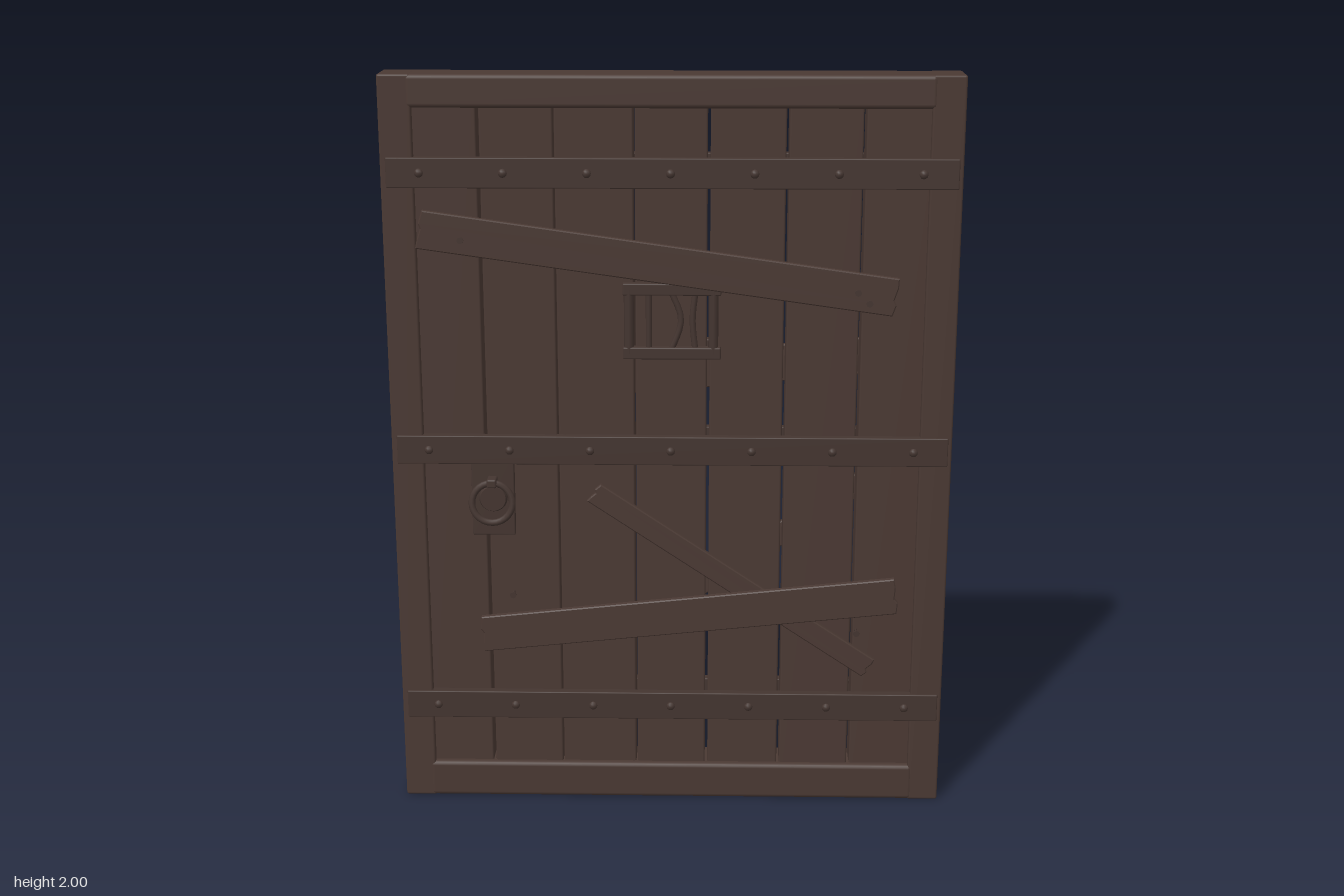
import * as THREE from 'three';
import { RoundedBoxGeometry } from 'three/addons/geometries/RoundedBoxGeometry.js';

export function createModel() {
  const door = new THREE.Group();
  door.name = 'door';
  const wood = new THREE.MeshStandardMaterial({ color: 0x4a3933 });
  wood.name = 'darkWood';
  const iron = new THREE.MeshStandardMaterial({ color: 0x443530 });
  iron.name = 'agedIron';

  function add(parent, name, geometry, material, x, y, z) {
    const mesh = new THREE.Mesh(geometry, material);
    mesh.name = name;
    mesh.position.set(x, y, z);
    parent.add(mesh);
    return mesh;
  }
  const block = (w, h, d, r = 0.006) => new RoundedBoxGeometry(w, h, d, 2, r);

  // Nail: a shank along z with a flat head
  function nail(parent, x, y, z, length = 0.03) {
    const g = new THREE.CylinderGeometry(0.004, 0.004, length, 6).rotateX(Math.PI / 2);
    add(parent, 'nailShank', g, iron, x, y, z);
    const head = new THREE.CylinderGeometry(0.009, 0.009, 0.004, 8).rotateX(Math.PI / 2);
    add(parent, 'nailHead', head, iron, x, y, z + length / 2);
  }

  // Loose board with splintered ends, running between two points
  function board(parent, name, a, b, width, thick, za, zb) {
    const dx = b[0] - a[0], dy = b[1] - a[1];
    const l = Math.hypot(dx, dy) / 2, h = width / 2;
    const shape = new THREE.Shape([
      [-l, -h], [l - 0.006, -h], [l, -h * 0.4], [l - 0.008, -h * 0.15], [l - 0.002, h * 0.5], [l - 0.004, h],
      [-l + 0.006, h], [-l, h * 0.3], [-l + 0.007, h * 0.05], [-l + 0.002, -h * 0.5],
    ].map(([x, y]) => new THREE.Vector2(x, y)));
    const bevel = 0.003;
    const g = new THREE.ExtrudeGeometry(shape, {
      depth: thick - 2 * bevel, bevelThickness: bevel, bevelSize: bevel, bevelOffset: -bevel, bevelSegments: 1,
    });
    g.translate(0, 0, bevel - thick / 2);
    const mesh = add(parent, name, g, wood, (a[0] + b[0]) / 2, (a[1] + b[1]) / 2, (za + zb) / 2);
    mesh.rotation.set(0, -Math.atan2(zb - za, 2 * l), Math.atan2(dy, dx), 'ZYX');
    return mesh;
  }

  // Outer frame
  add(door, 'rightPost', block(0.085, 2, 0.114), wood, -0.7025, 1, 0);
  add(door, 'leftPost', block(0.085, 2, 0.114), wood, 0.6985, 1, 0);
  add(door, 'topRail', block(1.345, 0.085, 0.118, 0.012), wood, -0.003, 1.9575, 0);
  add(door, 'bottomRail', block(1.345, 0.103, 0.118, 0.012), wood, -0.003, 0.0515, 0);

  // Vertical planks with narrow gaps
  const seams = [-0.68, -0.495, -0.302, -0.097, 0.095, 0.295, 0.49, 0.68];
  const gaps = [0, 0.007, 0.003, 0.004, 0.007, 0.007, 0.007, 0];
  for (let i = 0; i < 7; i++) {
    const x0 = seams[i] + gaps[i] / 2, x1 = seams[i + 1] - gaps[i + 1] / 2;
    const depth = 0.08 + (i % 2) * 0.004;
    add(door, 'plank', block(x1 - x0, 1.9, depth, 0.005), wood, (x0 + x1) / 2, 1, 0);
  }

  // Fittings shared by both faces; x is mirrored when the face is turned round
  function faceFittings(side) {
    const face = new THREE.Group();
    face.name = side > 0 ? 'frontFittings' : 'backFittings';
    if (side < 0) face.rotation.y = Math.PI;
    door.add(face);

    // Riveted straps
    for (const y of [1.752, 1.015, 0.28]) {
      add(face, 'strap', block(1.46, 0.078, 0.026, 0.003), iron, 0, y, 0.051);
      for (let i = -3; i <= 3; i++) {
        const rivet = new THREE.SphereGeometry(0.012, 10, 6);
        add(face, 'rivet', rivet, iron, i * 0.214 - 0.003 * side, y, 0.063).scale.z = 0.75;
      }
    }

    // Barred grille
    const grille = new THREE.Group();
    grille.name = 'grille';
    face.add(grille);
    for (const y of [1.451, 1.281]) {
      add(grille, 'grilleRail', block(0.256, 0.032, 0.026, 0.004), iron, 0, y, 0.049);
    }
    [-0.112, -0.06, 0.01, 0.058, 0.108].forEach((x, i) => {
      const edge = i === 0 || i === 4;
      const bend = i === 2 ? 0.014 : i === 3 ? -0.004 : 0;
      const path = new THREE.CatmullRomCurve3([
        new THREE.Vector3(x - bend, 1.28, 0.05),
        new THREE.Vector3(x + bend, 1.37, 0.05),
        new THREE.Vector3(x - bend, 1.45, 0.05),
      ]);
      add(grille, 'grilleBar', new THREE.TubeGeometry(path, 8, edge ? 0.013 : 0.008, 8), iron, 0, 0, 0);
    });

    // Ring handle on its plate
    const handle = new THREE.Group();
    handle.name = 'ringHandle';
    handle.position.x = -0.478 * side;
    face.add(handle);
    add(handle, 'handlePlate', block(0.115, 0.225, 0.024, 0.004), iron, 0, 0.887, 0.045);
    const boss = new THREE.CylinderGeometry(0.034, 0.04, 0.014, 20).rotateX(Math.PI / 2);
    add(handle, 'handleBoss', boss, iron, 0, 0.88, 0.06);
    add(handle, 'ringMount', block(0.026, 0.024, 0.05, 0.005), iron, 0, 0.93, 0.07);
    const ring = add(handle, 'ring', new THREE.TorusGeometry(0.054, 0.009, 8, 28), iron, 0, 0.876, 0.088);
    ring.rotation.x = -0.1;
    return face;
  }
  const front = faceFittings(1);
  const back = faceFittings(-1);

  // Boards nailed over the front
  board(front, 'upperBoard', [-0.65, 1.612], [0.583, 1.435], 0.1, 0.02, 0.085, 0.068);
  board(front, 'lowerBoard', [-0.518, 0.493], [0.607, 0.62], 0.1, 0.02, 0.066, 0.086);
  board(front, 'diagonalBoard', [-0.21, 0.9], [0.54, 0.397], 0.06, 0.018, 0.058, 0.06);
  for (const [x, y, z] of [
    [-0.54, 1.585, 0.084], [0.48, 1.45, 0.073], [0.51, 1.422, 0.073], [0.5, 0.51, 0.075], [-0.43, 0.607, 0.055],
  ]) nail(front, x, y, z);

  // Boards nailed over the back
  board(back, 'upperBoard', [-0.59, 1.252], [0.565, 1.148], 0.1, 0.018, 0.078, 0.066);
  board(back, 'diagonalBoard', [-0.52, 0.9], [0.22, 0.39], 0.06, 0.018, 0.058, 0.056);
  for (const [x, y, z] of [[-0.475, 1.14, 0.075], [0.47, 1.235, 0.065]]) nail(back, x, y, z, 0.05);

  return door;
}
